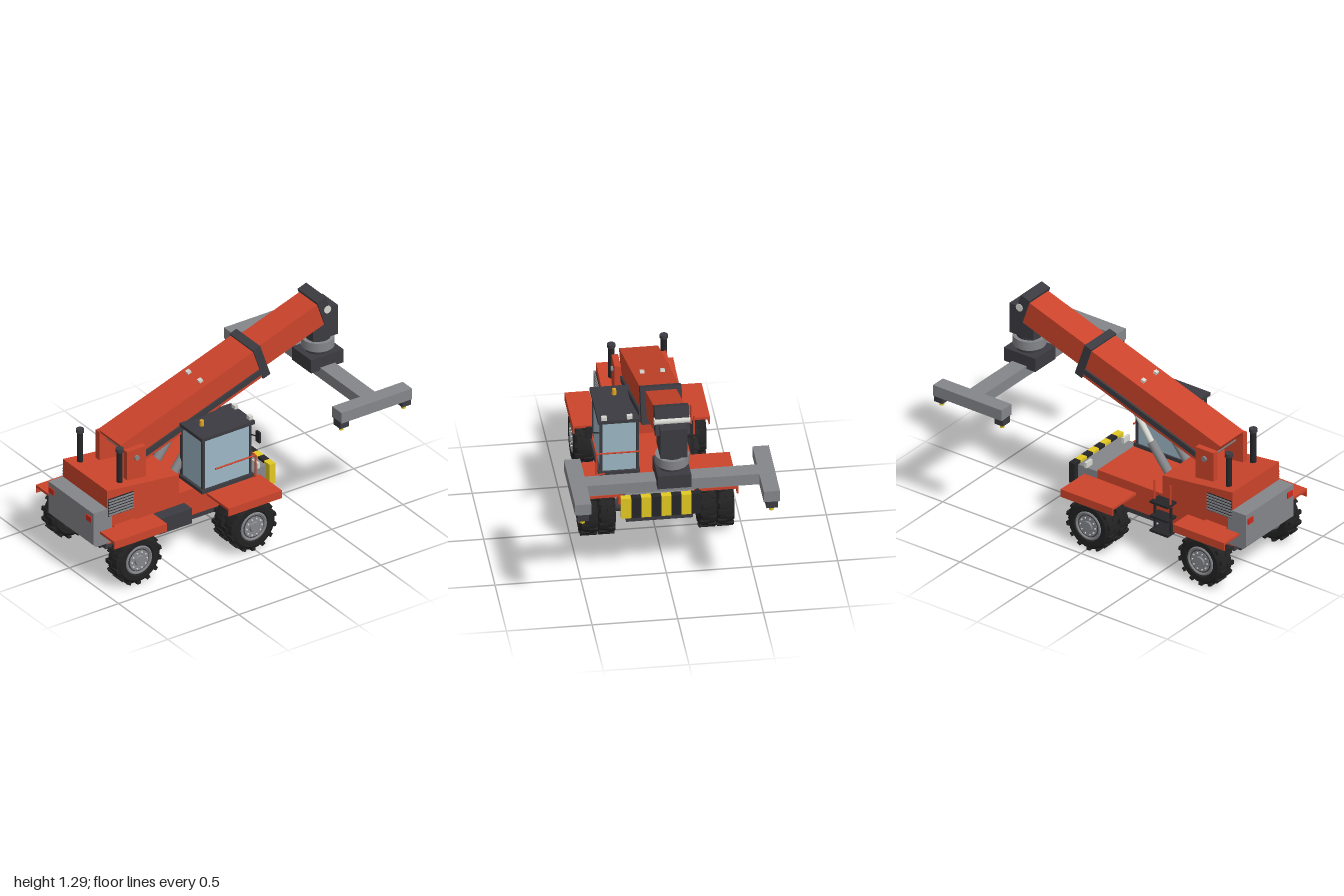
import * as THREE from 'three';

const mat = (color, extra = {}) => new THREE.MeshStandardMaterial({ color, ...extra });
const RED = mat(0xcc442b), DARK = mat(0x3b3b41), BLACK = mat(0x26262a), GREY = mat(0x85868a);
const TIRE = mat(0x222222, { flatShading: true }), YELLOW = mat(0xe3c822), GLASS = mat(0x9db8c6);
const LIGHT = mat(0xd8d8d2), AMBER = mat(0xe0a020), LAMP = mat(0xd02a1c);
const V = (x, y, z) => new THREE.Vector3(x, y, z);

function add(parent, name, geometry, material) {
  const mesh = new THREE.Mesh(geometry, material);
  mesh.name = name;
  parent.add(mesh);
  return mesh;
}

// Box given by its low and high limits on each axis
function box(parent, name, m, x0, x1, y0, y1, z0, z1) {
  const b = add(parent, name, new THREE.BoxGeometry(x1 - x0, y1 - y0, z1 - z0), m);
  b.position.set((x0 + x1) / 2, (y0 + y1) / 2, (z0 + z1) / 2);
  return b;
}

// Same box on the left and the right
function pair(parent, name, m, x0, x1, y0, y1, z0, z1) {
  box(parent, name, m, x0, x1, y0, y1, z0, z1);
  box(parent, name, m, x0, x1, y0, y1, -z1, -z0);
}

// Cylinder between two points
function rod(parent, name, m, a, b, r, sides = 16, r2 = r) {
  const dir = b.clone().sub(a);
  const c = add(parent, name, new THREE.CylinderGeometry(r2, r, dir.length(), sides), m);
  c.position.copy(a).add(b).multiplyScalar(0.5);
  c.quaternion.setFromUnitVectors(V(0, 1, 0), dir.normalize());
  return c;
}

// Side profile in x and y, extruded across z
function slab(parent, name, m, points, z0, z1) {
  const shape = new THREE.Shape(points.map(p => new THREE.Vector2(...p)));
  const s = add(parent, name, new THREE.ExtrudeGeometry(shape, { depth: z1 - z0, bevelEnabled: false }), m);
  s.position.z = z0;
  return s;
}

// Lugged tyre with a bolted rim; its outer face looks along +z
function wheel(parent, name, x, z, width, side) {
  const g = new THREE.Group();
  g.name = name;
  const h = width / 2;
  const profile = [[0.088, -h * 0.8], [0.1, -h], [0.13, -h], [0.152, -h * 0.7], [0.156, 0],
    [0.152, h * 0.7], [0.13, h], [0.1, h], [0.088, h * 0.8]].map(p => new THREE.Vector2(...p));
  add(g, 'tyre', new THREE.LatheGeometry(profile, 28), TIRE).rotation.x = Math.PI / 2;
  for (let i = 0; i < 28; i++) {
    const a = i / 28 * Math.PI * 2, s = i % 2 ? 1 : -1;
    const lug = add(g, 'treadLug', new THREE.BoxGeometry(0.024, 0.018, h * 0.95), TIRE);
    lug.position.set(Math.cos(a) * 0.152, Math.sin(a) * 0.152, s * h * 0.45);
    lug.rotation.z = a - Math.PI / 2;
  }
  rod(g, 'rim', GREY, V(0, 0, -h * 0.8), V(0, 0, h * 0.85), 0.09, 28);
  add(g, 'rimRing', new THREE.TorusGeometry(0.084, 0.008, 6, 28), GREY).position.z = h * 0.88;
  rod(g, 'rimDish', DARK, V(0, 0, h * 0.8), V(0, 0, h * 0.9), 0.072, 24);
  rod(g, 'hubPlate', GREY, V(0, 0, h * 0.8), V(0, 0, h * 0.95), 0.066, 24);
  rod(g, 'hubCap', GREY, V(0, 0, h * 0.8), V(0, 0, h + 0.008), 0.036, 18, 0.03);
  for (let i = 0; i < 10; i++) {
    const a = i / 10 * Math.PI * 2, bx = Math.cos(a) * 0.053, by = Math.sin(a) * 0.053;
    rod(g, 'wheelNut', LIGHT, V(bx, by, h * 0.8), V(bx, by, h + 0.004), 0.005, 6);
  }
  g.position.set(x, 0.164, z * side);
  if (side < 0) g.rotation.y = Math.PI;
  parent.add(g);
}

function buildChassis(g) {
  box(g, 'underFrame', DARK, -0.88, 0.2, 0.18, 0.235, -0.195, 0.195);
  box(g, 'lowerBody', RED, -0.89, 0.085, 0.23, 0.405, -0.225, 0.225);
  box(g, 'frontDeck', GREY, 0.085, 0.248, 0.24, 0.375, -0.2, 0.2);
  slab(g, 'engineHood', RED, [[-0.89, 0.4], [-0.385, 0.4], [-0.385, 0.53], [-0.89, 0.588]], -0.225, 0.225);
  slab(g, 'counterweight', GREY, [[-0.86, 0.24], [-0.86, 0.47], [-0.99, 0.47], [-0.99, 0.26], [-0.97, 0.24]], -0.228, 0.228);
  for (const s of [1, -1]) {
    const l = box(g, 'louvrePanel', BLACK, -0.885, -0.71, 0.415, 0.53, -0.003, 0.003);
    l.position.z = s * 0.227;
    for (let i = 0; i < 6; i++) {
      box(g, 'louvreSlat', GREY, -0.885, -0.71, 0.42 + i * 0.019, 0.43 + i * 0.019, -0.005, 0.005).position.z = s * 0.23;
    }
    box(g, 'tailLight', LAMP, -0.998, -0.985, 0.405, 0.44, -0.025, 0.025).position.z = s * 0.19;
    box(g, 'headlight', LIGHT, 0.178, 0.195, 0.375, 0.41, -0.03, 0.03).position.z = s * 0.18;
  }
  // Hazard bumper
  for (let i = 0; i < 8; i++) {
    const z = 0.235 - i * 0.05875;
    box(g, 'bumperStripe', i % 2 ? BLACK : YELLOW, 0.245, 0.286, 0.258, 0.392, z - 0.05875, z);
  }
  // Axles, wheels and mudguards
  for (const x of [-0.775, -0.01]) {
    rod(g, 'axle', DARK, V(x, 0.168, -0.3), V(x, 0.168, 0.3), 0.038);
    box(g, 'differential', DARK, x - 0.065, x + 0.065, 0.118, 0.2, -0.077, 0.077);
  }
  for (const s of [1, -1]) {
    wheel(g, 'rearWheel', -0.775, 0.328, 0.12, s);
    wheel(g, 'frontInnerWheel', -0.01, 0.295, 0.102, s);
    wheel(g, 'frontOuterWheel', -0.01, 0.398, 0.102, s);
  }
  const guard = (x0, x1, z0, z1) => {
    pair(g, 'mudguardTop', RED, x0, x1, 0.338, 0.354, z0, z1);
    pair(g, 'mudguardLip', RED, x0, x1, 0.303, 0.354, z1 - 0.008, z1);
  };
  guard(-0.96, -0.59, 0.255, 0.4);
  guard(-0.2, 0.175, 0.235, 0.463);
  pair(g, 'mudguardBracket', RED, -0.85, -0.7, 0.325, 0.345, 0.22, 0.27);
  box(g, 'sideTank', DARK, -0.578, -0.348, 0.23, 0.33, 0.22, 0.303);
  // Access steps and grab rails
  for (const y of [0.185, 0.28, 0.375]) box(g, 'step', BLACK, -0.485, -0.355, y, y + 0.014, -0.31, -0.22);
  for (const x of [-0.478, -0.362]) {
    box(g, 'stepSide', BLACK, x - 0.005, x + 0.005, 0.185, 0.385, -0.275, -0.262);
    rod(g, 'grabRail', RED, V(x, 0.37, -0.275), V(x, 0.515, -0.275), 0.006, 8);
  }
  // Exhaust stacks
  for (const [x, z] of [[-0.815, -0.16], [-0.755, 0.155]]) {
    rod(g, 'exhaust', BLACK, V(x, 0.55, z), V(x, 0.78, z), 0.018);
    rod(g, 'exhaustCap', DARK, V(x, 0.775, z), V(x, 0.797, z), 0.024);
  }
  // Boom pivot towers
  pair(g, 'pivotTower', RED, -0.705, -0.572, 0.53, 0.755, 0.122, 0.16);
  rod(g, 'pivotPin', GREY, V(-0.64, 0.7, -0.172), V(-0.64, 0.7, 0.172), 0.016);
}

function buildCab(g) {
  const x0 = -0.29, x1 = 0.055, z0 = 0.1, z1 = 0.328;
  box(g, 'cabFloor', DARK, x0 - 0.01, x1 + 0.01, 0.423, 0.445, z0 - 0.005, z1 + 0.01);
  box(g, 'cabGlass', GLASS, x0 + 0.008, x1 - 0.006, 0.44, 0.78, z0 + 0.006, z1 - 0.006);
  box(g, 'cabRoof', DARK, x0 - 0.015, x1 + 0.015, 0.775, 0.797, z0 - 0.005, z1 + 0.013);
  for (const x of [x0, x1 - 0.016]) for (const z of [z0, z1 - 0.016])
    box(g, 'cabPost', DARK, x, x + 0.016, 0.44, 0.78, z, z + 0.016);
  const rail = [V(0.066, 0.43, 0.35), V(0.066, 0.572, 0.35)];
  rod(g, 'cabRailPost', RED, ...rail, 0.005, 8);
  rod(g, 'cabSideRail', RED, V(-0.215, 0.572, 0.35), rail[1], 0.005, 8);
  rod(g, 'cabFrontRail', RED, V(0.066, 0.572, 0.095), rail[1], 0.005, 8);
  rod(g, 'cabLowerRail', RED, V(0.066, 0.435, 0.3), rail[0], 0.005, 8);
  rod(g, 'beacon', AMBER, V(-0.215, 0.795, 0.21), V(-0.215, 0.832, 0.21), 0.015, 14, 0.012);
  for (const z of [0.155, 0.305]) box(g, 'workLight', LIGHT, 0.045, 0.068, 0.797, 0.82, z - 0.016, z + 0.016);
  rod(g, 'mirrorArm', BLACK, V(0.05, 0.705, 0.325), V(0.055, 0.72, 0.39), 0.004, 8);
  box(g, 'mirror', BLACK, 0.05, 0.062, 0.685, 0.755, 0.376, 0.412);
}

// Boom is built level along x, then tilted up
function buildBoom(g) {
  slab(g, 'outerBoom', RED, [[0, 0], [0.93, 0], [0.93, 0.2], [-0.1, 0.203], [-0.09, 0.16]], -0.114, 0.114);
  box(g, 'innerBoom', RED, 0.85, 1.39, 0.035, 0.19, -0.09, 0.09);
  box(g, 'boomCollar', DARK, 0.885, 0.937, -0.01, 0.212, -0.121, 0.121);
  box(g, 'boomHead', DARK, 1.375, 1.44, 0.04, 0.21, -0.1, 0.1);
  pair(g, 'boomSideRail', DARK, 0.01, 0.885, 0.028, 0.063, 0.112, 0.127);
  pair(g, 'boomLight', LIGHT, 0.522, 0.546, 0.198, 0.218, 0.047, 0.073);
  g.position.set(-0.56, 0.625, 0);
  g.rotation.z = 0.33;
}

function buildSpreader(g) {
  rod(g, 'headPin', LIGHT, V(0.745, 1.203, -0.105), V(0.745, 1.203, 0.105), 0.024);
  slab(g, 'rotatorHousing', DARK, [[0.66, 1], [0.835, 1], [0.835, 1.193], [0.72, 1.193], [0.66, 1.09]], -0.078, 0.078);
  rod(g, 'rotatorNeck', DARK, V(0.747, 0.975, 0), V(0.747, 1.005, 0), 0.075, 24);
  rod(g, 'slewRing', GREY, V(0.747, 0.923, 0), V(0.747, 0.98, 0), 0.098, 28);
  rod(g, 'slewBase', DARK, V(0.747, 0.89, 0), V(0.747, 0.925, 0), 0.078, 24);
  box(g, 'spreaderMount', DARK, 0.632, 0.86, 0.81, 0.897, -0.098, 0.098);
  box(g, 'spreaderBeam', GREY, 0.695, 0.8, 0.757, 0.828, -0.52, 0.52);
  pair(g, 'spreaderEndBeam', GREY, 0.5, 0.997, 0.757, 0.828, 0.503, 0.598);
  for (const x of [0.53, 0.967]) for (const z of [-0.552, 0.552]) {
    box(g, 'lockHousing', DARK, x - 0.03, x + 0.03, 0.715, 0.76, z - 0.034, z + 0.034);
    rod(g, 'twistLock', YELLOW, V(x, 0.688, z), V(x, 0.718, z), 0.014, 12);
  }
  for (const z of [-0.06, 0.06]) rod(g, 'tiltCylinder', LIGHT, V(0.52, 1.052, z), V(0.73, 1.09, z), 0.011, 12);
}

export function createModel() {
  const root = new THREE.Group();
  root.name = 'containerHandler';
  const parts = { chassis: buildChassis, cab: buildCab, boom: buildBoom, spreader: buildSpreader };
  for (const [name, build] of Object.entries(parts)) {
    const g = new THREE.Group();
    g.name = name;
    build(g);
    root.add(g);
  }
  // Lift cylinders
  for (const z of [-0.088, 0.088]) {
    rod(root, 'liftCylinder', GREY, V(-0.37, 0.41, z), V(-0.2, 0.63, z), 0.027);
    rod(root, 'liftRod', LIGHT, V(-0.2, 0.63, z), V(-0.08, 0.8, z), 0.018);
  }
  return root;
}
